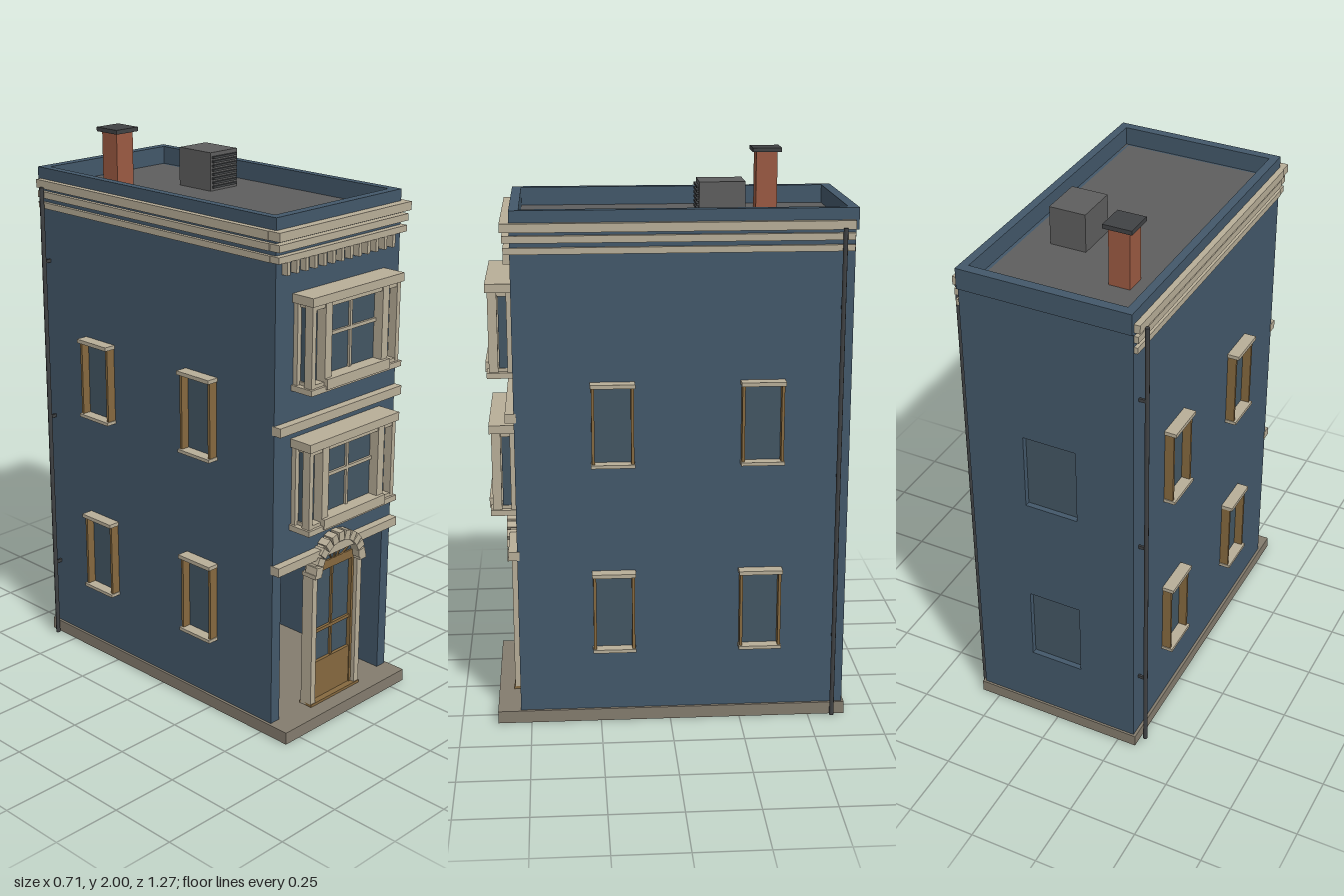
import * as THREE from 'three';

const mat = (name, color, side = THREE.FrontSide) => {
  const m = new THREE.MeshStandardMaterial({ color, side });
  m.name = name;
  return m;
};

export function createModel() {
  const wall = mat('blue wall', 0x43586a);
  const glass = mat('window glass', 0x435663, THREE.DoubleSide);
  const stone = mat('pale stone', 0xb8ae98);
  const paving = mat('paving', 0x847c6e);
  const wood = mat('brown wood', 0x86693f);
  const brick = mat('brick', 0x9b5a42);
  const roofGrey = mat('roof felt', 0x5e5e5e);
  const metal = mat('dark metal', 0x404244);

  const model = new THREE.Group();
  model.name = 'townhouse';

  // Box given by its extents on each axis
  const box = (name, m, [x0, x1], [y0, y1], [z0, z1], parent = model) => {
    const mesh = new THREE.Mesh(new THREE.BoxGeometry(x1 - x0, y1 - y0, z1 - z0), m);
    mesh.position.set((x0 + x1) / 2, (y0 + y1) / 2, (z0 + z1) / 2);
    mesh.name = name;
    parent.add(mesh);
    return mesh;
  };
  const group = (name) => {
    const g = new THREE.Group();
    g.name = name;
    model.add(g);
    return g;
  };
  const span = (s, a, b) => (s > 0 ? [a, b] : [-b, -a]);

  // Base slab and shell, open at street level beside the door
  box('baseSlab', paving, [-0.32, 0.32], [0, 0.045], [-0.633, 0.62]);
  for (const s of [1, -1]) box('sideWall', wall, span(s, 0.268, 0.31), [0.045, 1.78], [-0.625, 0.538]);
  box('upperFrontWall', wall, [-0.268, 0.268], [0.62, 1.78], [0.498, 0.538]);
  box('ceiling', wall, [-0.268, 0.268], [0.62, 0.66], [-0.585, 0.498]);

  // Back wall with two shallow window openings
  const back = new THREE.Shape();
  back.moveTo(-0.268, 0.045).lineTo(0.268, 0.045).lineTo(0.268, 1.78).lineTo(-0.268, 1.78).closePath();
  for (const y of [0.28, 0.965]) {
    const hole = new THREE.Path();
    hole.moveTo(-0.098, y).lineTo(-0.098, y + 0.285).lineTo(0.098, y + 0.285).lineTo(0.098, y).closePath();
    back.holes.push(hole);
    box('backWindow', glass, [-0.11, 0.11], [y - 0.01, y + 0.295], [-0.605, -0.597]);
  }
  const backWall = new THREE.Mesh(new THREE.ExtrudeGeometry(back, { depth: 0.04, bevelEnabled: false }), wall);
  backWall.position.z = -0.625;
  backWall.name = 'backWall';
  model.add(backWall);

  // Flat roof inside a parapet
  box('roof', roofGrey, [-0.285, 0.285], [1.75, 1.78], [-0.605, 0.51]);
  for (const s of [1, -1]) box('parapetSide', wall, span(s, 0.28, 0.31), [1.77, 1.845], [-0.635, 0.538]);
  box('parapetFront', wall, [-0.28, 0.28], [1.77, 1.845], [0.505, 0.538]);
  box('parapetBack', wall, [-0.28, 0.28], [1.77, 1.845], [-0.635, -0.6]);

  // Cornice: three bands round the front and sides, with dentils below
  const cornice = group('cornice');
  [[1.7, 1.722, 0.56, 0.32], [1.738, 1.762, 0.563, 0.322], [1.774, 1.804, 0.57, 0.328]].forEach(([y0, y1, z, x]) => {
    box('corniceFront', stone, [-x, x], [y0, y1], [0.52, z], cornice);
    for (const s of [1, -1]) box('corniceSide', stone, span(s, 0.3, x + 0.003), [y0, y1], [-0.622, 0.522], cornice);
  });
  for (let i = 0; i < 13; i++) {
    const x = -0.275 + i * 0.0437;
    box('dentil', stone, [x - 0.007, x + 0.007], [1.657, 1.7], [0.538, 0.562], cornice);
  }

  // String courses
  for (const y of [0.617, 1.118]) box('stringCourse', stone, [-0.312, 0.312], [y, y + 0.032], [0.53, 0.568]);

  // Projecting front windows
  const frontWindow = (y) => {
    const g = group('frontWindow');
    const b = (n, m, x, yy, z) => box(n, m, x, [y + yy[0], y + yy[1]], z, g);
    b('lintel', stone, [-0.23, 0.23], [0.3, 0.33], [0.538, 0.628]);
    b('lintelMoulding', stone, [-0.21, 0.21], [0.284, 0.3], [0.538, 0.618]);
    b('sill', stone, [-0.23, 0.23], [0, 0.02], [0.538, 0.628]);
    b('sillMoulding', stone, [-0.21, 0.21], [0.02, 0.032], [0.538, 0.618]);
    b('innerSill', stone, [-0.16, 0.16], [0.008, 0.044], [0.58, 0.634]);
    b('pane', glass, [-0.205, 0.205], [0.03, 0.29], [0.538, 0.585]);
    for (const s of [1, -1]) {
      b('cornerPost', stone, span(s, 0.204, 0.222), [0.02, 0.3], [0.588, 0.62]);
      b('wallPost', stone, span(s, 0.204, 0.222), [0.02, 0.3], [0.538, 0.556]);
      b('innerPost', stone, span(s, 0.128, 0.16), [0.03, 0.3], [0.585, 0.622]);
    }
    b('mullion', stone, [-0.005, 0.005], [0.03, 0.29], [0.585, 0.594]);
    b('transom', stone, [-0.128, 0.128], [0.174, 0.186], [0.585, 0.594]);
  };
  [0.757, 1.255].forEach(frontWindow);

  // Side windows: wooden jambs between stone sill and lintel
  for (const s of [1, -1]) for (const z of [-0.318, 0.2]) for (const y of [0.275, 0.96]) {
    const g = group('sideWindow');
    box('sidePane', glass, span(s, 0.309, 0.312), [y, y + 0.29], [z - 0.066, z + 0.066], g);
    box('sideSill', stone, span(s, 0.31, 0.352), [y, y + 0.012], [z - 0.076, z + 0.076], g);
    box('sideLintel', stone, span(s, 0.31, 0.354), [y + 0.283, y + 0.297], [z - 0.077, z + 0.077], g);
    for (const e of [-1, 1]) {
      const c = z + e * 0.068;
      box('sideJamb', wood, span(s, 0.31, 0.343), [y + 0.012, y + 0.283], [c - 0.005, c + 0.005], g);
    }
  }

  // Front door
  const door = group('frontDoor');
  const rect = (n, m, x, y, z0, z1) => box(n, m, x, y, [z0, z1], door);
  rect('doorPanel', wood, [-0.1, 0.1], [0.055, 0.2], 0.515, 0.542);
  rect('doorGlass', glass, [-0.1, 0.1], [0.2, 0.56], 0.522, 0.53);
  rect('doorStep', wood, [-0.13, 0.13], [0.045, 0.055], 0.51, 0.565);
  rect('doorRail', wood, [-0.1, 0.1], [0.314, 0.326], 0.518, 0.54);
  rect('doorHead', wood, [-0.106, 0.106], [0.553, 0.585], 0.51, 0.548);
  rect('doorMullion', wood, [-0.004, 0.004], [0.2, 0.56], 0.518, 0.539);
  for (const s of [1, -1]) {
    rect('doorStile', wood, span(s, 0.096, 0.106), [0.045, 0.56], 0.51, 0.546);
    rect('doorPilaster', stone, span(s, 0.106, 0.13), [0.045, 0.55], 0.515, 0.562);
    rect('archSpringer', stone, span(s, 0.102, 0.134), [0.55, 0.565], 0.515, 0.578);
  }

  // Fanlight with radiating bars
  const cy = 0.56;
  const fan = new THREE.Mesh(new THREE.CircleGeometry(0.108, 24, 0, Math.PI), glass);
  fan.position.set(0, cy, 0.541);
  fan.name = 'fanlight';
  door.add(fan);
  for (let i = 1; i < 6; i++) {
    const a = (i * Math.PI) / 6;
    const bar = new THREE.Mesh(new THREE.BoxGeometry(0.075, 0.004, 0.006), wood);
    bar.position.set(Math.cos(a) * 0.062, cy + Math.sin(a) * 0.062, 0.545);
    bar.rotation.z = a;
    bar.name = 'fanlightBar';
    door.add(bar);
  }

  // Arch ring and separate arch stones
  const ring = new THREE.Shape();
  ring.absarc(0, 0, 0.125, 0, Math.PI, false);
  ring.absarc(0, 0, 0.098, Math.PI, 0, true);
  const arch = new THREE.Mesh(new THREE.ExtrudeGeometry(ring, { depth: 0.045, bevelEnabled: false, curveSegments: 20 }), stone);
  arch.position.set(0, cy, 0.52);
  arch.name = 'archRing';
  door.add(arch);
  for (let i = 0; i < 11; i++) {
    const a = ((i + 0.5) * Math.PI) / 11;
    const block = new THREE.Mesh(new THREE.BoxGeometry(0.034, 0.027, 0.05), stone);
    block.position.set(Math.cos(a) * 0.114, cy + Math.sin(a) * 0.114, 0.553);
    block.rotation.z = a;
    block.name = 'archStone';
    door.add(block);
  }

  // Downpipes
  for (const s of [1, -1]) {
    const pipe = new THREE.Mesh(new THREE.CylinderGeometry(0.008, 0.008, 1.775, 8), metal);
    pipe.position.set(s * 0.338, 0.892, -0.585);
    pipe.name = 'downpipe';
    model.add(pipe);
    for (const y of [0.3, 0.9, 1.5]) box('pipeBracket', metal, span(s, 0.308, 0.338), [y, y + 0.012], [-0.589, -0.581]);
  }

  // Chimney
  box('chimney', brick, [-0.193, -0.117], [1.77, 1.985], [-0.413, -0.337]);
  box('chimneyCap', metal, [-0.206, -0.104], [1.985, 2], [-0.427, -0.323]);

  // Rooftop vent unit with slats on its front
  const vent = group('roofVent');
  box('ventBody', roofGrey, [0.042, 0.174], [1.77, 1.917], [-0.265, -0.107], vent);
  for (let i = 0; i < 8; i++) {
    const y = 1.79 + i * 0.015;
    box('ventSlat', metal, [0.05, 0.166], [y, y + 0.008], [-0.107, -0.098], vent);
  }
  return model;
}
